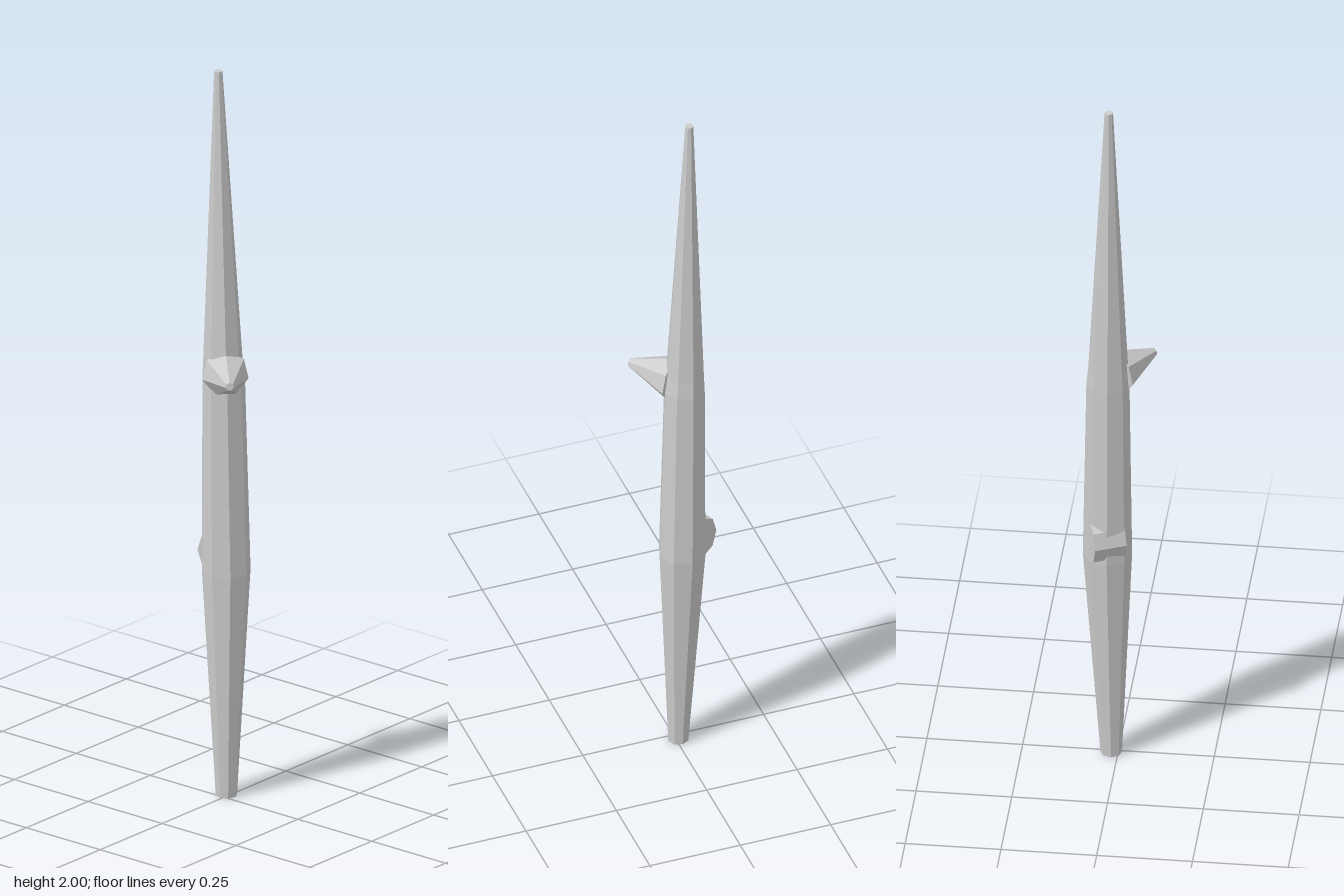
import * as THREE from 'three';

const material = new THREE.MeshStandardMaterial({ color: 0xcccccc, flatShading: true });

// Tapered limb between two points
function limb(name, from, to, r0, r1, sides, stretchY = 1) {
  const a = new THREE.Vector3(...from), b = new THREE.Vector3(...to);
  const geo = new THREE.CylinderGeometry(r1, r0, a.distanceTo(b), sides);
  geo.scale(1, 1, stretchY); // local z ends up vertical
  const mesh = new THREE.Mesh(geo, material);
  mesh.name = name;
  const axis = b.clone().sub(a).normalize();
  const side = new THREE.Vector3().crossVectors(axis, new THREE.Vector3(0, 1, 0)).normalize();
  const up = new THREE.Vector3().crossVectors(side, axis);
  mesh.quaternion.setFromRotationMatrix(new THREE.Matrix4().makeBasis(side, axis, up));
  mesh.position.copy(a).add(b).multiplyScalar(0.5);
  return mesh;
}

// Eight-sided trunk lofted through rings of [y, centre x, centre z, radius]
function trunk() {
  const rings = [
    [0, -0.007, -0.018, 0.028],
    [0.62, -0.015, -0.027, 0.064],
    [1.15, -0.022, -0.025, 0.056],
    [1.2, -0.024, -0.024, 0.052],
    [2, -0.037, -0.021, 0.011],
  ];
  const n = rings.length - 1;
  const geo = new THREE.CylinderGeometry(1, 1, n, 8, n, false, 0.08);
  const p = geo.attributes.position;
  for (let i = 0; i < p.count; i++) {
    const [y, cx, cz, r] = rings[Math.round(p.getY(i) + n / 2)];
    p.setXYZ(i, cx + p.getX(i) * r, y, cz + p.getZ(i) * r);
  }
  geo.computeVertexNormals();
  const mesh = new THREE.Mesh(geo, material);
  mesh.name = 'trunk';
  return mesh;
}

export function createModel() {
  const group = new THREE.Group();
  group.name = 'branchedStick';
  group.add(trunk());
  // Short pointed side branch
  group.add(limb('sideBranch', [0.003, 1.175, -0.002], [0.09, 1.185, 0.084], 0.062, 0.011, 7));
  // Cut-off knot on the opposite side
  group.add(limb('knot', [-0.025, 0.68, 0.01], [-0.06, 0.68, -0.068], 0.045, 0.045, 8, 1.35));
  return group;
}
